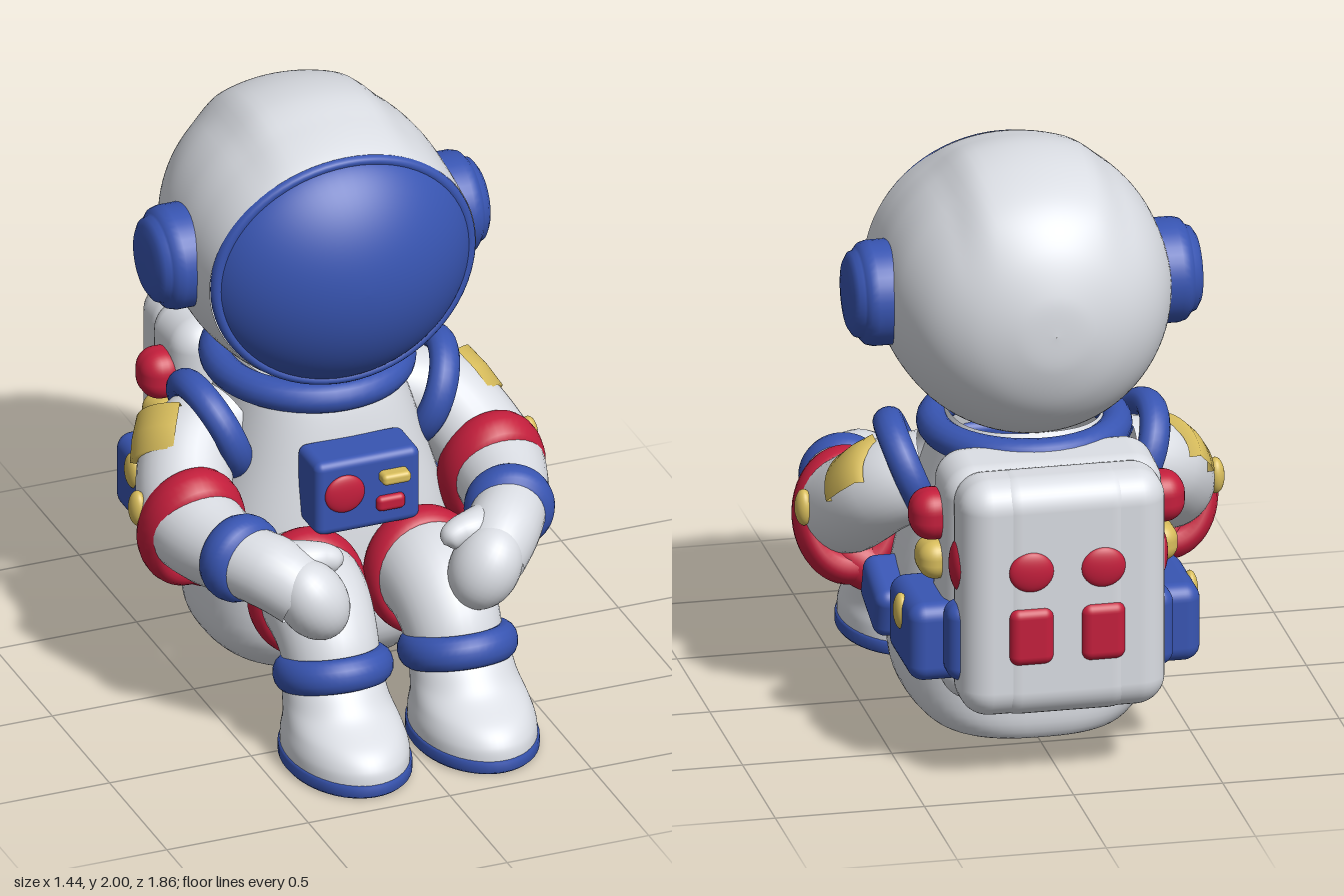
import * as THREE from 'three';
import { RoundedBoxGeometry } from 'three/addons/geometries/RoundedBoxGeometry.js';

const V = (a) => new THREE.Vector3(...a);
const mat = (name, color, side = THREE.FrontSide) => {
  const m = new THREE.MeshStandardMaterial({ color, side });
  m.name = name;
  return m;
};

// Smooth interpolation through rows of numbers, u in 0..1
function rowAt(rows, u) {
  const n = rows.length - 1, k = Math.min(Math.floor(u * n), n - 1), t = u * n - k;
  const at = (i) => rows[Math.max(0, Math.min(n, i))];
  return rows[0].map((_, c) => {
    const a = at(k - 1)[c], b = at(k)[c], d = at(k + 1)[c], e = at(k + 2)[c];
    return b + 0.5 * t * (d - a + t * (2 * a - 5 * b + 4 * d - e + t * (3 * (b - d) + e - a)));
  });
}

// Closed-ring surface from f(u, angle) -> [x, y, z]
function surface(f, nu = 40, nv = 48) {
  const pos = [], idx = [];
  for (let i = 0; i <= nu; i++)
    for (let j = 0; j < nv; j++) {
      pos.push(...f(i / nu, (j / nv) * Math.PI * 2));
      if (i === nu) continue;
      const a = i * nv + j, b = i * nv + (j + 1) % nv;
      idx.push(a, a + nv, b, b, a + nv, b + nv);
    }
  const g = new THREE.BufferGeometry();
  g.setAttribute('position', new THREE.Float32BufferAttribute(pos, 3));
  g.setIndex(idx);
  g.computeVertexNormals();
  return g;
}

// Upright body from rows [y, rx, rz, centreZ]; power below 1 squares the outline
const bend = (v, power) => Math.sign(v) * Math.pow(Math.abs(v), power);
const upright = (x, rows, power = 1) => surface((u, a) => {
  const [y, rx, rz, cz] = rowAt(rows, u);
  return [x + rx * bend(Math.cos(a), power), y, cz + rz * bend(Math.sin(a), power)];
}, 40, 64);

// Limb from rows [x, y, z, radius]
function limb(rows) {
  const nu = 28, curve = new THREE.Curve();
  curve.getPoint = (t, target = new THREE.Vector3()) => target.set(...rowAt(rows, t).slice(0, 3));
  const fr = curve.computeFrenetFrames(nu);
  return surface((u, a) => {
    const i = Math.round(u * nu), t = curve.getUtoTmapping(u), r = rowAt(rows, t)[3];
    return curve.getPoint(t).addScaledVector(fr.normals[i], r * Math.cos(a))
      .addScaledVector(fr.binormals[i], -r * Math.sin(a)).toArray();
  }, nu, 32);
}

const place = (g, p, rot = [0, 0, 0], s = [1, 1, 1]) => g.applyMatrix4(new THREE.Matrix4().compose(
  V(p), new THREE.Quaternion().setFromEuler(new THREE.Euler(...rot)), V(s)));
const ball = (p, r, rot) => place(new THREE.SphereGeometry(1, 32, 20), p, rot, r);
const box = (p, s, r, rot) => place(new RoundedBoxGeometry(...s, 5, r), p, rot);

// Padded ring facing along n; s stretches it before turning
function band(p, n, r, tube, s) {
  const q = new THREE.Quaternion().setFromUnitVectors(V([0, 0, 1]), V(n).normalize());
  return new THREE.TorusGeometry(r, tube, 16, 48).applyMatrix4(new THREE.Matrix4().compose(V(p), q, V(s)));
}

function mirrored(g) {
  const m = g.clone().applyMatrix4(new THREE.Matrix4().makeScale(-1, 1, 1));
  if (!m.index) m.setIndex([...Array(m.attributes.position.count).keys()]);
  const a = m.index.array;
  for (let i = 0; i < a.length; i += 3) [a[i + 1], a[i + 2]] = [a[i + 2], a[i + 1]];
  return m;
}

// Bows the front opening of the helmet forward at top and bottom
function bow(g) {
  const p = g.attributes.position;
  for (let i = 0; i < p.count; i++) {
    const w = THREE.MathUtils.smoothstep(p.getZ(i), -0.1, 0.06);
    const d = (p.getY(i) - 1.505) / 0.41;
    p.setZ(i, p.getZ(i) + w * 0.03 * d * d);
  }
  g.computeVertexNormals();
  return g;
}

export function createModel() {
  const white = mat('suit white', 0xdadde3, THREE.DoubleSide), blue = mat('trim blue', 0x3855b2);
  const red = mat('band red', 0xc41e3c), yellow = mat('patch yellow', 0xd8bd5c, THREE.DoubleSide);
  const model = new THREE.Group();
  model.name = 'astronaut';
  const add = (name, g, m) => {
    const mesh = new THREE.Mesh(g, m);
    mesh.name = name;
    model.add(mesh);
  };
  const pair = (name, g, m) => {
    add(name + 'Left', g, m);
    add(name + 'Right', mirrored(g), m);
  };

  // Helmet with a broad raised strip over the crown
  const shell = [[0.065, 0.47, 0.413], [-0.06, 0.477, 0.457], [-0.22, 0.48, 0.48], [-0.4, 0.46, 0.455],
    [-0.56, 0.39, 0.39], [-0.67, 0.275, 0.275], [-0.73, 0.13, 0.13], [-0.742, 0.001, 0.001]];
  add('helmet', bow(surface((u, a) => {
    const [z, rx, ry] = rowAt(shell, u), x = rx * Math.cos(a), y = ry * Math.sin(a);
    const strip = (1 - THREE.MathUtils.smoothstep(Math.abs(x), 0.18, 0.29))
      * THREE.MathUtils.smoothstep(y, 0.1, 0.35) * Math.sin(Math.PI * Math.min(1, u * 1.2));
    return [x, 1.505 + y + (0.015 + 0.35 * x * x) * strip, z];
  }, 60, 96)), white);
  add('visor', bow(surface((u, a) => {
    const r = Math.max(0.001, Math.sin(u * Math.PI / 2));
    return [0.45 * r * Math.cos(a), 1.505 + 0.4 * r * Math.sin(a), 0.06 + 0.23 * Math.pow(1 - r * r, 0.75)];
  }, 28, 64)), blue);
  add('visorRim', bow(place(new THREE.TorusGeometry(0.445, 0.022, 14, 72), [0, 1.505, 0.065], [0, 0, 0], [1, 0.89, 1])), blue);
  const pod = [[0, 0.175], [0.075, 0.175], [0.1, 0.168], [0.113, 0.153], [0.118, 0.146], [0.135, 0.14],
    [0.149, 0.118], [0.155, 0.08], [0.157, 0]].map(([h, r]) => new THREE.Vector2(r, h));
  pair('earPod', place(new THREE.LatheGeometry(pod, 40), [0.435, 1.505, -0.205], [0, 0, -Math.PI / 2]), blue);

  // Torso and collar
  add('torso', upright(0, [[0.012, 0.001, 0.001, -0.24], [0.015, 0.24, 0.24, -0.24], [0.06, 0.35, 0.32, -0.23],
    [0.2, 0.425, 0.378, -0.18], [0.5, 0.42, 0.37, -0.18], [0.8, 0.34, 0.335, -0.19], [1.0, 0.28, 0.31, -0.21],
    [1.08, 0.25, 0.27, -0.22]], 0.78), white);
  add('collar', band([0, 1.032, -0.245], [0, 1, 0], 0.3, 0.054, [1, 1.07, 1]), blue);

  // Chest control panel
  add('chestPanel', box([0.005, 0.765, 0.19], [0.37, 0.27, 0.18], 0.03), blue);
  add('panelDial', ball([-0.08, 0.78, 0.28], [0.07, 0.068, 0.02]), red);
  add('panelYellowKey', box([0.09, 0.82, 0.29], [0.1, 0.04, 0.07], 0.015), yellow);
  add('panelRedKey', box([0.08, 0.72, 0.28], [0.1, 0.055, 0.04], 0.018), red);

  // Arms
  pair('arm', limb([[0.3, 0.87, -0.21, 0.14], [0.45, 0.81, -0.16, 0.155], [0.535, 0.68, 0.02, 0.16],
    [0.52, 0.65, 0.18, 0.15], [0.465, 0.65, 0.36, 0.125], [0.395, 0.635, 0.47, 0.125], [0.33, 0.585, 0.54, 0.115]]), white);
  pair('shoulderRing', band([0.375, 0.875, -0.17], [0.92, -0.38, 0.1], 0.163, 0.045, [1, 1, 1.15]), blue);
  pair('elbowBand', band([0.53, 0.635, 0.05], [0, -0.3, 1], 0.142, 0.05, [0.95, 1.2, 1.6]), red);
  pair('elbowFlap', ball([0.475, 0.475, 0], [0.15, 0.085, 0.085], [0.4, 0, 0.55]), red);
  pair('elbowButton', ball([0.69, 0.7, -0.02], [0.03, 0.062, 0.042]), yellow);
  pair('wristCuff', band([0.475, 0.653, 0.345], [-0.3, 0, 0.95], 0.1, 0.05, [1, 1, 1.35]), blue);

  // Hands
  pair('palm', ball([0.305, 0.57, 0.555], [0.115, 0.15, 0.125], [0, 0, -0.5]), white);
  pair('thumb', limb([[0.36, 0.66, 0.45, 0.08], [0.29, 0.675, 0.48, 0.066], [0.235, 0.675, 0.49, 0.052],
    [0.195, 0.66, 0.5, 0.036], [0.18, 0.65, 0.505, 0.001]]), white);

  // Curved shoulder patch wrapped around the upper arm
  const along = V([0.42, -0.6, 0.68]).normalize(), out = V([0.64, 0.76, -0.15]);
  out.addScaledVector(along, -out.dot(along)).normalize();
  const strip = [[0.14, -0.085], [0.178, -0.085], [0.183, 0], [0.178, 0.085], [0.14, 0.085]].map((p) => new THREE.Vector2(...p));
  pair('shoulderPatch', new THREE.LatheGeometry(strip, 16, -0.62, 1.24).applyMatrix4(
    new THREE.Matrix4().makeBasis(along.clone().cross(out), along, out).setPosition(0.455, 0.795, -0.175)), yellow);

  // Legs and boots
  pair('leg', limb([[0.17, 0.4, 0, 0.14], [0.2, 0.435, 0.2, 0.18], [0.21, 0.44, 0.35, 0.178],
    [0.215, 0.36, 0.47, 0.165], [0.22, 0.22, 0.53, 0.155]]), white);
  pair('thighBand', band([0.205, 0.43, 0.255], [0, 0.08, 1], 0.165, 0.038, [1, 1.1, 1.75]), red);
  pair('boot', upright(0.225, [[0.04, 0.2, 0.285, 0.64], [0.09, 0.199, 0.278, 0.637], [0.14, 0.188, 0.25, 0.62],
    [0.2, 0.175, 0.195, 0.565], [0.27, 0.165, 0.17, 0.525], [0.33, 0.14, 0.14, 0.5]]), white);
  pair('ankleBand', band([0.22, 0.283, 0.523], [0, 0.95, -0.3], 0.155, 0.045, [1, 1, 1.3]), blue);
  const sole = [[0, 0], [0.96, 0], [1, 0.01], [1, 0.042], [0.96, 0.052], [0, 0.052]].map((p) => new THREE.Vector2(...p));
  pair('sole', place(new THREE.LatheGeometry(sole, 48), [0.225, 0, 0.64], [0, 0, 0], [0.207, 1, 0.291]), blue);

  // Hip pouches
  pair('hipPouch', box([0.435, 0.44, -0.2], [0.16, 0.18, 0.26], 0.045, [-0.3, 0, 0]), blue);

  // Backpack
  add('backpackFrame', box([0, 0.645, -0.59], [0.73, 0.83, 0.31], 0.1, [-0.06, 0, 0]), white);
  add('backpackCase', box([0, 0.645, -0.78], [0.69, 0.82, 0.25], 0.1), white);
  add('backpackSpine', box([0, 0.645, -0.785], [0.5, 0.825, 0.25], 0.1), white);
  pair('sidePouch', box([0.39, 0.46, -0.56], [0.2, 0.27, 0.36], 0.055), blue);
  pair('rearPouch', box([0.315, 0.485, -0.765], [0.13, 0.27, 0.13], 0.05), blue);
  pair('pouchButton', ball([0.485, 0.525, -0.57], [0.025, 0.062, 0.045]), yellow);
  pair('upperSideButton', box([0.385, 0.865, -0.585], [0.15, 0.17, 0.16], 0.07), red);
  pair('middleSideButton', box([0.37, 0.71, -0.58], [0.13, 0.13, 0.155], 0.055), yellow);
  pair('rearSideButton', ball([0.33, 0.745, -0.765], [0.035, 0.09, 0.07]), red);
  pair('upperBackButton', ball([0.12, 0.755, -0.905], [0.075, 0.07, 0.025]), red);
  pair('lowerBackButton', box([0.12, 0.53, -0.895], [0.15, 0.2, 0.07], 0.034), red);
  return model;
}
